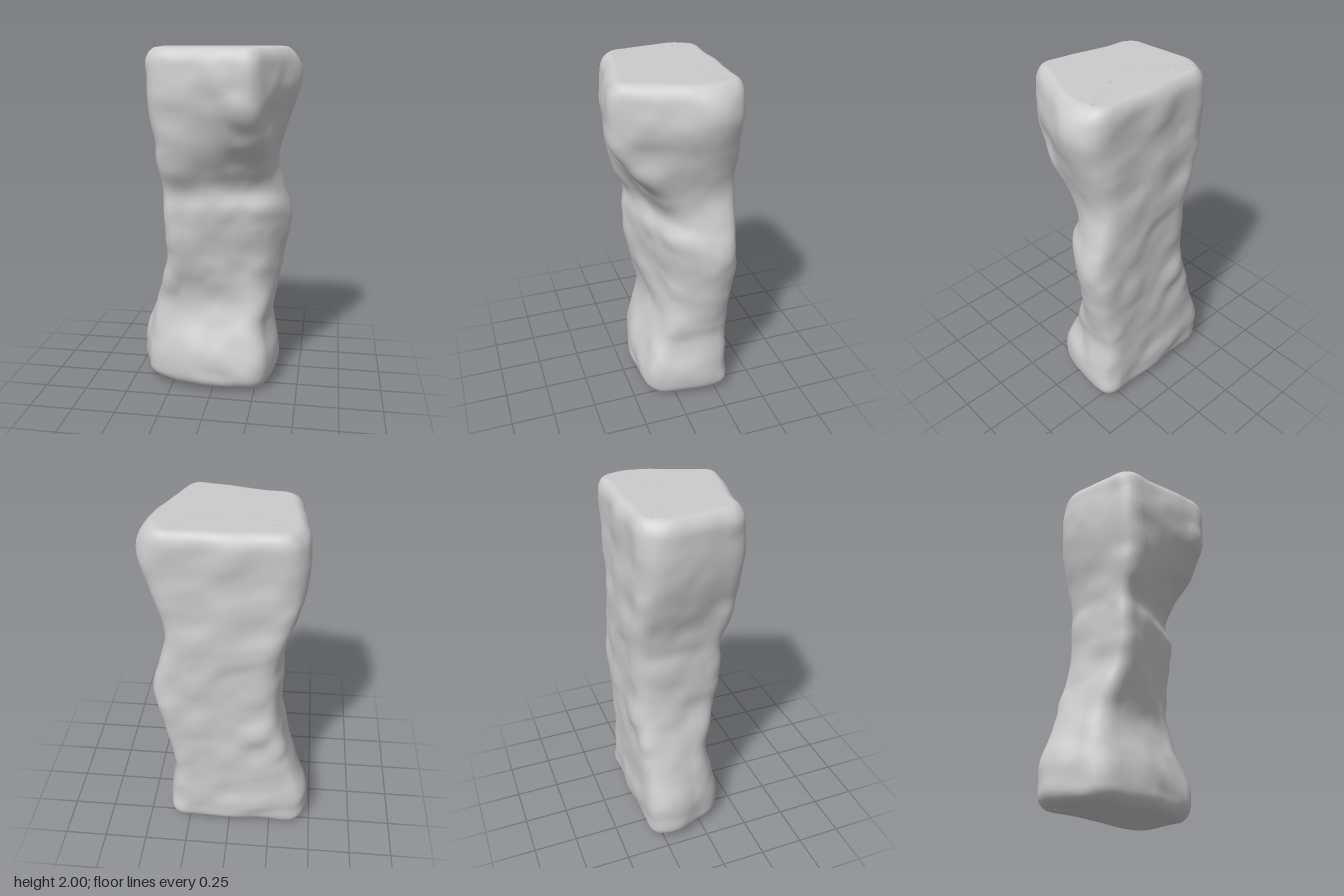
import * as THREE from 'three';

// Height, then: leftmost x, rightmost x, front-left corner x z, mid-front z, front-right corner x z
const levels = [
  [0.00, -0.48, 0.365, -0.38, 0.11, 0.18, 0.31, 0.15],
  [0.10, -0.49, 0.38, -0.39, 0.11, 0.20, 0.31, 0.165],
  [0.22, -0.48, 0.37, -0.38, 0.11, 0.195, 0.30, 0.15],
  [0.40, -0.43, 0.335, -0.36, 0.08, 0.115, 0.28, 0.08],
  [0.52, -0.39, 0.355, -0.33, 0.08, 0.08, 0.29, 0.035],
  [0.65, -0.345, 0.38, -0.31, 0.11, 0.095, 0.28, 0.02],
  [0.80, -0.30, 0.40, -0.28, 0.15, 0.12, 0.28, -0.005],
  [1.00, -0.29, 0.44, -0.28, 0.18, 0.135, 0.30, 0.01],
  [1.10, -0.29, 0.425, -0.28, 0.18, 0.14, 0.31, 0.025],
  [1.20, -0.295, 0.40, -0.28, 0.18, 0.13, 0.29, -0.005],
  [1.35, -0.33, 0.365, -0.29, 0.225, 0.19, 0.28, 0.09],
  [1.50, -0.38, 0.395, -0.31, 0.25, 0.24, 0.28, 0.24],
  [1.65, -0.415, 0.44, -0.34, 0.255, 0.27, 0.26, 0.335],
  [1.82, -0.42, 0.485, -0.35, 0.255, 0.28, 0.25, 0.375],
  [2.00, -0.39, 0.45, -0.335, 0.235, 0.27, 0.25, 0.355],
];

const profile = new THREE.CubicInterpolant(levels.map((l) => l[0]), levels.flatMap((l) => l.slice(1)), 7);

// Closed cross-section with rounded corners, counter-clockwise seen from above
function crossSection(y) {
  const [xl, xr, flx, flz, midz, frx, frz] = profile.evaluate(y);
  // The back corners are worn further off towards the top
  const wear = THREE.MathUtils.smoothstep(y, 1.2, 1.9);
  const corners = [
    [xl + 0.05 + 0.02 * wear, -0.335], [xl, -0.19], [flx, flz], [flx + (frx - flx) * 0.4, midz],
    [frx, frz], [xr, -0.19 + 0.03 * wear], [xr - 0.03 - 0.05 * wear, -0.335],
  ].map(([x, z]) => new THREE.Vector2(x, z));
  const n = corners.length;
  const towards = (a, b) => a.clone().lerp(b, Math.min(0.45, 0.1 / a.distanceTo(b)));
  const points = [];
  corners.forEach((p, k) => {
    const next = corners[(k + 1) % n];
    const end = towards(p, next), nextStart = towards(next, p);
    const bend = new THREE.QuadraticBezierCurve(towards(p, corners[(k + n - 1) % n]), p, end);
    points.push(...bend.getPoints(8));
    for (let i = 1; i < 12; i++) points.push(end.clone().lerp(nextStart, i / 12));
  });
  return points;
}

// Smooth value noise in the range -1 to 1
function hash(x, y, z) {
  const s = Math.sin(x * 127.1 + y * 311.7 + z * 74.7) * 43758.5453;
  return (s - Math.floor(s)) * 2 - 1;
}

function noise(x, y, z) {
  const cell = [x, y, z].map(Math.floor);
  const t = [x, y, z].map((v, i) => THREE.MathUtils.smootherstep(v - cell[i], 0, 1));
  let sum = 0;
  for (let c = 0; c < 8; c++) {
    const bit = [c & 1, (c >> 1) & 1, c >> 2];
    const weight = bit.reduce((w, b, i) => w * (b ? t[i] : 1 - t[i]), 1);
    sum += weight * hash(cell[0] + bit[0], cell[1] + bit[1], cell[2] + bit[2]);
  }
  return sum;
}

// Soft, weathered unevenness
const roughness = (x, y, z) => 0.012 * noise(6 * x + 3, 7 * y + 2 * x, 6 * z) + 0.003 * noise(12 * x, 11 * y, 12 * z + 9);

// Rings as [height, inset, scale]: underside, rounded foot, shaft, rounded top edge, flat top
function ringList() {
  const rings = [];
  const edge = 0.08;
  for (const s of [0.002, 0.4, 0.75, 0.95]) rings.push([0, 0.06, s]);
  for (let i = 0; i < 8; i++) {
    const a = (i / 8) * Math.PI / 2;
    rings.push([edge * (1 - Math.cos(a)), 0.06 * (1 - Math.sin(a)), 1]);
  }
  for (let i = 0; i <= 100; i++) rings.push([edge + (2 - 2 * edge) * i / 100, 0, 1]);
  for (let i = 1; i <= 8; i++) {
    const a = (i / 8) * Math.PI / 2;
    rings.push([2 - edge + edge * Math.sin(a), 0.055 * (1 - Math.cos(a)), 1]);
  }
  for (const s of [0.97, 0.75, 0.4, 0.002]) rings.push([2, 0.055, s]);
  return rings;
}

function pillarGeometry() {
  const positions = [], index = [];
  const rings = ringList();
  let count = 0;
  for (const [h, inset, scale] of rings) {
    const section = crossSection(h);
    count = section.length;
    section.forEach((p, j) => {
      const tangent = section[(j + 1) % count].clone().sub(section[(j + count - 1) % count]).normalize();
      const out = roughness(p.x, h, p.y) - inset;
      const x = (p.x - tangent.y * out) * scale;
      const z = (p.y + tangent.x * out + 0.05) * scale - 0.05;
      // The foot is slightly uneven
      const lift = Math.max(0, 1 - h / 0.16) * Math.max(0, 0.014 - 0.025 * x + 0.01 * noise(6 * x, 1, 6 * z));
      positions.push(x, h + lift, z);
    });
  }
  for (let i = 0; i < rings.length - 1; i++) {
    for (let j = 0; j < count; j++) {
      const a = i * count + j, b = i * count + (j + 1) % count;
      index.push(a, b, b + count, a, b + count, a + count);
    }
  }
  const geometry = new THREE.BufferGeometry();
  geometry.setAttribute('position', new THREE.Float32BufferAttribute(positions, 3));
  geometry.setIndex(index);
  geometry.computeVertexNormals();
  return geometry;
}

export function createModel() {
  const group = new THREE.Group();
  group.name = 'rockPillar';
  const pillar = new THREE.Mesh(pillarGeometry(), new THREE.MeshStandardMaterial({ color: 0xcccccc }));
  pillar.name = 'weatheredStone';
  group.add(pillar);
  return group;
}
